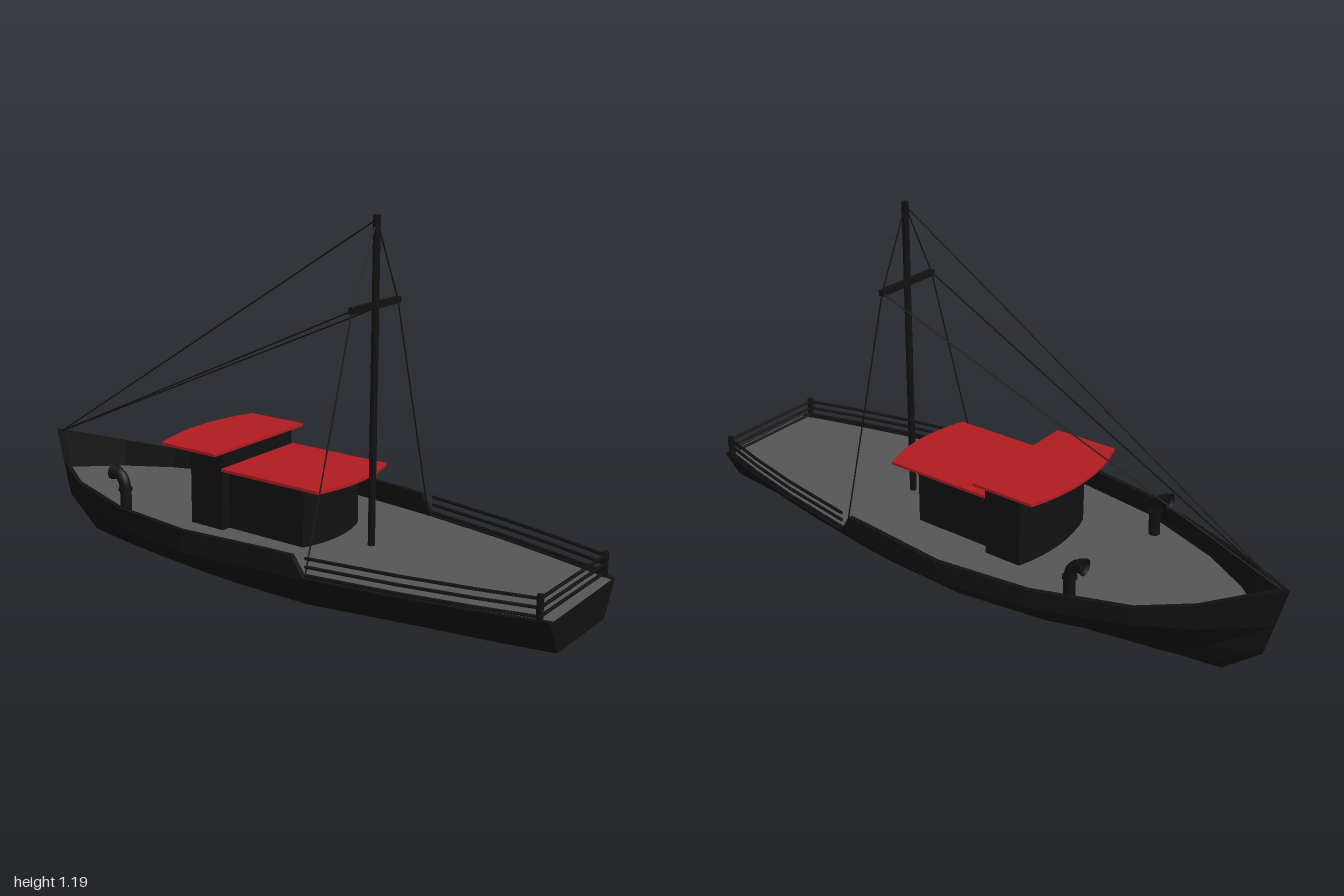
import * as THREE from 'three';

const DECK = 0.22, RIM = 0.015;
const mat = (color, flat = true) =>
  new THREE.MeshStandardMaterial({ color, flatShading: flat, side: THREE.DoubleSide });
const black = mat(0x111111), smoothBlack = mat(0x111111, false);
const grey = mat(0x555555), red = mat(0xb01c20);

// x, sheer half width, sheer y, deck half width, chine (z, y), bilge (z, y), keel y
const stations = [
  [-0.80, 0.155, 0.305, 0.14, 0.06, 0.12, 0.03, 0.05, 0.017],
  [-0.65, 0.24, 0.283, 0.23, 0.14, 0.12, 0.07, 0.05, 0],
  [-0.37, 0.34, 0.282, 0.337, 0.23, 0.12, 0.12, 0.05, 0],
  [-0.08, 0.383, 0.287, 0.383, 0.27, 0.12, 0.145, 0.05, 0],
  [0.20, 0.354, 0.287, 0.354, 0.258, 0.12, 0.145, 0.05, 0],
  [0.29, 0.344, 0.285, 0.344, 0.25, 0.122, 0.145, 0.058, 0.017],
  [0.33, 0.34, 0.224, 0.339, 0.247, 0.124, 0.145, 0.062, 0.024],
  [0.60, 0.293, 0.224, 0.292, 0.215, 0.135, 0.142, 0.085, 0.065],
  [0.80, 0.247, 0.224, 0.246, 0.185, 0.145, 0.14, 0.1, 0.088],
  [1.00, 0.195, 0.224, 0.194, 0.165, 0.165, 0.14, 0.12, 0.12],
];

function add(parent, name, geometry, material, x = 0, y = 0, z = 0) {
  const m = new THREE.Mesh(geometry, material);
  m.name = name;
  m.position.set(x, y, z);
  parent.add(m);
  return m;
}

// Straight round bar between two points
function bar(parent, name, a, b, r, sides = 6) {
  const p = new THREE.Vector3(...a), q = new THREE.Vector3(...b);
  const m = add(parent, name, new THREE.CylinderGeometry(r, r, p.distanceTo(q), sides), smoothBlack);
  m.position.copy(p).add(q).multiplyScalar(0.5);
  m.quaternion.setFromUnitVectors(new THREE.Vector3(0, 1, 0), q.sub(p).normalize());
  return m;
}

// Horizontal plate from an x/z outline, thickened upward from y
function plate(parent, name, outline, y, height, material) {
  const shape = new THREE.Shape(outline.map(([x, z]) => new THREE.Vector2(x, -z)));
  const g = new THREE.ExtrudeGeometry(shape, { depth: height, bevelEnabled: false });
  g.rotateX(-Math.PI / 2);
  return add(parent, name, g, material, 0, y, 0);
}

// Rectangle outline whose end at x1 bows outward by bulge
function bowedOutline(x0, x1, halfWidth, bulge) {
  const pts = [[x0, -halfWidth]];
  for (let i = 0; i <= 8; i++) {
    const t = -1 + i / 4;
    pts.push([x1 + bulge * (1 - t * t), t * halfWidth]);
  }
  pts.push([x0, halfWidth]);
  return pts;
}

// Hull shell: each section runs from inner bulwark over the rim and down to the keel, then mirrored
function hullGeometry() {
  const halves = [[
    [-0.94, DECK, 0], [-0.965, 0.345, 0], [-1, 0.35, 0], [-0.967, DECK, 0],
    [-0.94, 0.12, 0], [-0.88, 0.07, 0], [-0.82, 0.02, 0],
  ]];
  for (const [x, ws, ys, wd, wc, yc, wb, yb, yk] of stations) {
    halves.push([
      [x, DECK, wd - RIM], [x, ys, ws - RIM], [x, ys, ws], [x, DECK, wd],
      [x, yc, wc], [x, yb, wb], [x, yk, 0],
    ]);
  }
  const rows = halves.map(h =>
    [...h, ...h.slice(0, -1).reverse().map(([x, y, z]) => [x, y, -z])]);
  const n = rows[0].length, index = [];
  for (let i = 0; i < rows.length - 1; i++) {
    for (let j = 0; j < n - 1; j++) {
      const a = i * n + j, b = a + n;
      index.push(a, a + 1, b, b, a + 1, b + 1);
    }
  }
  // transom
  const last = (rows.length - 1) * n;
  for (let j = 1; j < n - 1; j++) index.push(last, last + j, last + j + 1);
  const g = new THREE.BufferGeometry();
  g.setAttribute('position', new THREE.Float32BufferAttribute(rows.flat(2), 3));
  g.setIndex(index);
  g.computeVertexNormals();
  return g;
}

function ventilator(parent, z) {
  const vent = new THREE.Group();
  vent.name = 'ventilator';
  vent.position.set(-0.445, DECK, z);
  const path = new THREE.CatmullRomCurve3([[0, 0], [0, 0.075], [-0.006, 0.105], [-0.022, 0.124], [-0.04, 0.128]]
    .map(([x, y]) => new THREE.Vector3(x, y, 0)));
  add(vent, 'ventPipe', new THREE.TubeGeometry(path, 14, 0.018, 10), smoothBlack);
  add(vent, 'ventCollar', new THREE.CylinderGeometry(0.022, 0.022, 0.01, 10), smoothBlack, 0, 0.08, 0);
  const mouth = add(vent, 'ventMouth', new THREE.CylinderGeometry(0.026, 0.018, 0.026, 12, 1, true),
    smoothBlack, -0.037, 0.128, 0);
  mouth.rotation.z = Math.PI / 2;
  parent.add(vent);
}

function railing(parent) {
  const rail = new THREE.Group();
  rail.name = 'railing';
  const side = stations.filter(s => s[0] >= 0.33 && s[0] < 1).map(s => [s[0], s[1] - 0.008]);
  side.push([0.97, 0.192]);
  for (const y of [0.232, 0.257, 0.282]) {
    for (const s of [1, -1]) {
      for (let i = 0; i < side.length - 1; i++) {
        const [a, b] = [side[i], side[i + 1]];
        bar(rail, 'sideRail', [a[0], y, s * a[1]], [b[0], y, s * b[1]], 0.005);
      }
    }
    bar(rail, 'sternRail', [0.97, y, -0.192], [0.97, y, 0.192], 0.005);
  }
  for (const s of [1, -1]) bar(rail, 'railPost', [0.97, DECK, s * 0.192], [0.97, 0.293, s * 0.192], 0.01, 8);
  parent.add(rail);
}

export function createModel() {
  const boat = new THREE.Group();
  boat.name = 'boat';

  add(boat, 'hull', hullGeometry(), black);
  const edge = stations.map(s => [s[0], s[3] - RIM]);
  plate(boat, 'deck', [[-0.94, 0], ...edge, ...edge.map(([x, z]) => [x, -z]).reverse()],
    DECK - 0.004, 0.005, grey);

  // Cabins and roofs
  plate(boat, 'wheelhouse', bowedOutline(-0.1, -0.225, 0.17, -0.028), DECK, 0.245, black);
  plate(boat, 'wheelhouseRoof', bowedOutline(-0.09, -0.3, 0.217, -0.038), 0.465, 0.009, red);
  plate(boat, 'cabin', bowedOutline(-0.1, 0.18, 0.14, 0.028), DECK, 0.188, black);
  plate(boat, 'cabinRoof', bowedOutline(-0.1, 0.257, 0.176, 0.03), 0.408, 0.009, red);

  // Mast and rigging
  const mx = 0.325, spar = 0.935, top = 1.175, bow = [-0.975, 0.345, 0];
  bar(boat, 'mast', [mx, DECK, 0], [mx, 1.187, 0], 0.011, 10);
  add(boat, 'crosstree', new THREE.BoxGeometry(0.018, 0.018, 0.24), black, mx, spar, 0);
  const line = (name, a, b) => bar(boat, name, a, b, 0.0022, 5);
  line('forestay', [mx, top, 0], bow);
  for (const s of [1, -1]) {
    const tip = [mx, spar, s * 0.115];
    line('bowStay', tip, bow);
    line('upperShroud', [mx, top, 0], tip);
    line('lowerShroud', tip, [0.322, DECK, s * 0.322]);
    ventilator(boat, s * 0.232);
  }

  railing(boat);
  return boat;
}
